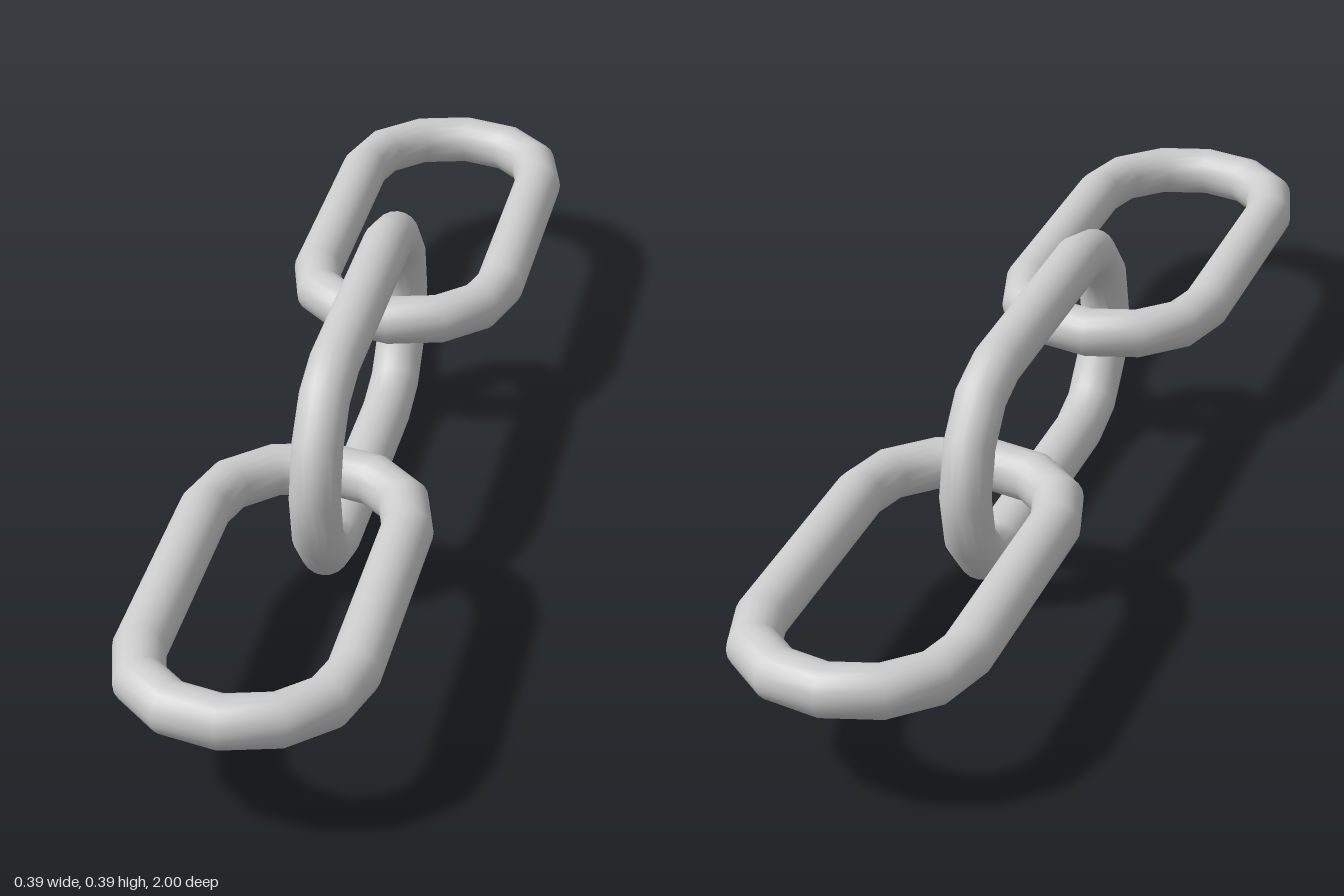
import * as THREE from 'three';

const WIRE = 0.04;      // wire radius
const BEND = 0.156;     // half width of a link, to the wire centre
const BEND_STEPS = 6;   // segments per rounded end
const SIDES = 20;       // sides of the round wire

// Closed oval link lying flat, long axis along z, swept from ring sections
function linkGeometry(halfStraight, bendLength) {
  const positions = [], index = [];
  const sections = 2 * (BEND_STEPS + 1);
  for (let i = 0; i < sections; i++) {
    const end = i <= BEND_STEPS ? 1 : -1;
    const step = end > 0 ? i : i - 1;
    const a = (step / BEND_STEPS) * Math.PI;
    const nx = Math.cos(a), nz = Math.sin(a);
    for (let j = 0; j < SIDES; j++) {
      const b = (j / SIDES) * Math.PI * 2;
      const out = WIRE * Math.cos(b);
      positions.push(
        nx * (BEND + out),
        WIRE * Math.sin(b),
        end * halfStraight + nz * (bendLength + out)
      );
      const i2 = (i + 1) % sections, j2 = (j + 1) % SIDES;
      const p = i * SIDES + j, q = i * SIDES + j2;
      const r = i2 * SIDES + j, s = i2 * SIDES + j2;
      index.push(p, q, r, q, s, r);
    }
  }
  const geometry = new THREE.BufferGeometry();
  geometry.setAttribute('position', new THREE.Float32BufferAttribute(positions, 3));
  geometry.setIndex(index);
  geometry.computeVertexNormals();
  return geometry;
}

export function createModel() {
  const chain = new THREE.Group();
  chain.name = 'chain';
  const material = new THREE.MeshStandardMaterial({ color: 0xcccccc });

  const addLink = (name, geometry, z, roll) => {
    const link = new THREE.Mesh(geometry, material);
    link.name = name;
    link.position.set(0, BEND + WIRE, z);
    link.rotation.z = roll;
    chain.add(link);
  };

  // Two flat outer links joined by an upright one
  const flat = linkGeometry(0.2, 0.156);
  addLink('frontLink', flat, 0.604, 0);
  addLink('backLink', flat, -0.604, 0);
  addLink('middleLink', linkGeometry(0.207, 0.146), -0.012, Math.PI / 2);

  return chain;
}
